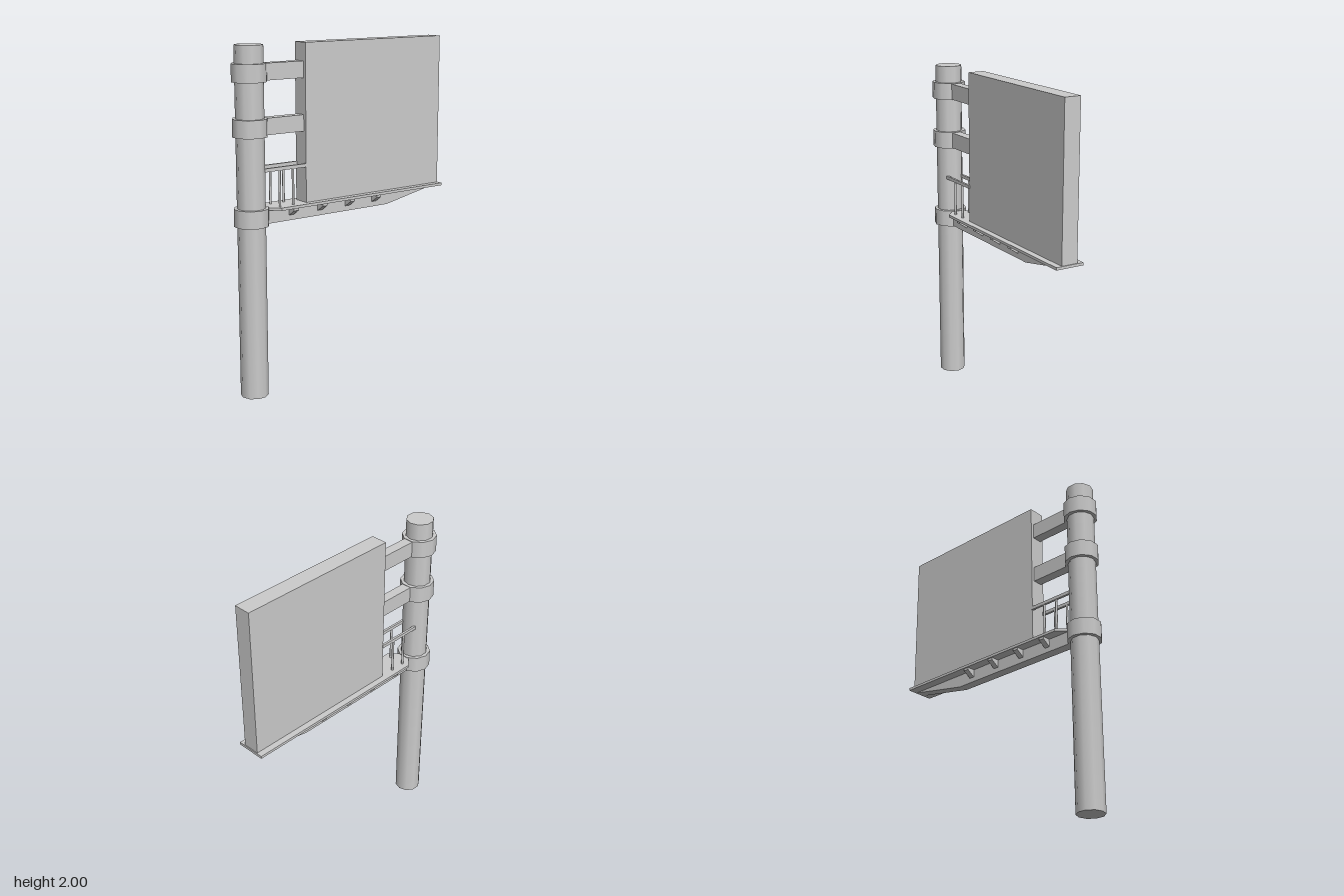
import * as THREE from 'three';

const material = new THREE.MeshStandardMaterial({ color: 0xcccccc });
const POLE_X = -0.624;

export function createModel() {
  const group = new THREE.Group();

  const add = (name, geometry) => {
    const mesh = new THREE.Mesh(geometry, material);
    mesh.name = name;
    group.add(mesh);
    return mesh;
  };

  // Box given by its lower and upper corners
  const box = (name, [x0, y0, z0], [x1, y1, z1]) =>
    add(name, new THREE.BoxGeometry(x1 - x0, y1 - y0, z1 - z0))
      .position.set((x0 + x1) / 2, (y0 + y1) / 2, (z0 + z1) / 2);

  // Upright cylinder standing on y
  const column = (name, radius, sides, x, y, z, height) => {
    const mesh = add(name, new THREE.CylinderGeometry(radius, radius, height, sides));
    mesh.position.set(x, y + height / 2, z);
    return mesh;
  };

  // Polygon extruded symmetrically about its own plane
  const slab = (points, depth) => {
    const shape = new THREE.Shape(points.map(([x, y]) => new THREE.Vector2(x, y)));
    return new THREE.ExtrudeGeometry(shape, { depth, bevelEnabled: false }).translate(0, 0, -depth / 2);
  };

  // Pole and its collars
  column('pole', 0.08, 10, POLE_X, 0, 0, 2).rotation.y = Math.PI / 2;
  for (const y of [1, 1.5, 1.8]) column('collar', 0.1, 10, POLE_X, y, 0, 0.1);

  // Sign board and the two arms holding it
  box('signBoard', [-0.285, 1.09, -0.05], [0.715, 2, 0.05]);
  for (const y of [1.503, 1.803]) box('supportArm', [POLE_X, y, -0.03], [-0.28, y + 0.094, 0.03]);

  // Lower beam with tapered free end
  add('walkwayBeam', slab([[POLE_X, 1.003], [0.325, 1.003], [0.715, 1.08], [0.715, 1.085], [POLE_X, 1.085]], 0.06));

  // Walkway plate, narrowed at the pole
  const plate = add('walkwayPlate', slab([
    [-0.56, -0.012], [-0.48, -0.0875], [0.72, -0.0875], [0.72, 0.0875], [-0.48, 0.0875], [-0.56, 0.012],
  ], 0.016));
  plate.rotation.x = -Math.PI / 2;
  plate.position.y = 1.088;

  for (const side of [1, -1]) {
    // Gussets under the plate
    for (let i = 0; i < 4; i++) {
      const gusset = add('gusset', slab([[0.025, 1.03], [0.08, 1.066], [0.08, 1.085], [0.025, 1.085]], 0.033));
      gusset.rotation.y = -side * Math.PI / 2;
      gusset.position.x = -0.375 + i * 0.2;
    }

    // Railing
    const z = side * 0.048;
    box('handrail', [-0.565, 1.302, z - 0.007], [-0.28, 1.322, z + 0.007]);
    for (const x of [-0.465, -0.375]) column('railingPost', 0.007, 8, x, 1.09, z, 0.215);
  }

  return group;
}
